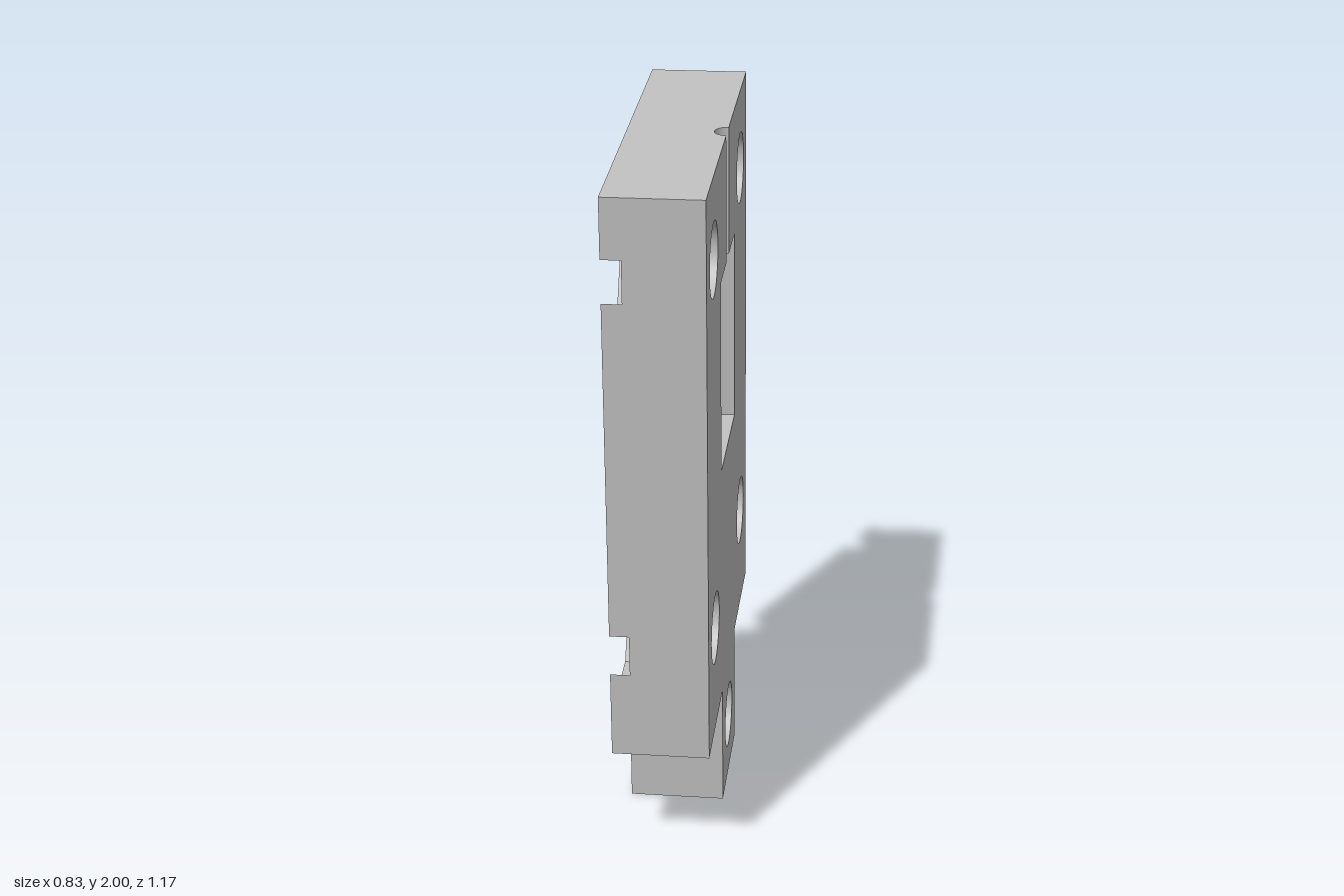
import * as THREE from 'three';

// Plate half width, half height, half thickness, tab half width, tab bottom
const W = 0.5305, H = 0.793, T = 0.132, TAB = 0.174, TAB_Y = -1.154;
const BOLT_X = 0.354, BOLT_Y = [-0.489, 0.572], BOLT_R = 0.1;
const TAB_HOLE_Y = -0.975, TAB_HOLE_R = 0.095;
const HEX_R = 0.21, FLOOR = T - 0.053;
const POCKET_R = 0.184, POCKET_LOW = -0.102, POCKET_TOP = 0.441, GROOVE_R = 0.034;

const steel = new THREE.MeshStandardMaterial({ color: 0xbfbfbf, side: THREE.DoubleSide });
steel.name = 'plain grey';

const V = (x, y) => new THREE.Vector2(x, y);
const mirrored = (half) => [...half, ...half.map((p) => V(-p.x, p.y)).reverse()];

// Nut recess clipped where it breaks out of the plate's edge, right side, bottom to top
function clippedHex(y) {
  const a = HEX_R / 2, b = HEX_R * Math.sqrt(3) / 2;
  const gap = (BOLT_X + HEX_R - W) * Math.sqrt(3);
  return [V(W, y - gap), V(BOLT_X + a, y - b), V(BOLT_X - a, y - b), V(BOLT_X - HEX_R, y),
    V(BOLT_X - a, y + b), V(BOLT_X + a, y + b), V(W, y + gap)];
}

function circleHole(x, y, r) {
  return new THREE.Path().absarc(x, y, r, 0, Math.PI * 2, false);
}

// Flat-shaded walls along an outline, leaving out the top edge
function walls(points, z0, z1) {
  const pos = [];
  points.forEach((a, i) => {
    const b = points[(i + 1) % points.length];
    if (a.y === H && b.y === H) return;
    pos.push(a.x, a.y, z0, b.x, b.y, z0, b.x, b.y, z1, a.x, a.y, z0, b.x, b.y, z1, a.x, a.y, z1);
  });
  const g = new THREE.BufferGeometry();
  g.setAttribute('position', new THREE.Float32BufferAttribute(pos, 3));
  g.computeVertexNormals();
  return g;
}

// Upright half cylinder hollowed into the back face
function trough(r, y0, y1) {
  return new THREE.CylinderGeometry(r, r, y1 - y0, 32, 1, true, -Math.PI / 2, Math.PI)
    .translate(0, (y0 + y1) / 2, -T);
}

function bore(x, y, r, z0, z1) {
  return new THREE.CylinderGeometry(r, r, z1 - z0, 40, 1, true)
    .rotateX(Math.PI / 2).translate(x, y, (z0 + z1) / 2);
}

const flat = (shape) => new THREE.ShapeGeometry(shape, 24);

export function createModel() {
  const model = new THREE.Group();
  model.name = 'mountingPlate';
  const plate = new THREE.Group();
  plate.name = 'tiltedPlate';
  model.add(plate);
  const add = (name, geometry) => {
    const mesh = new THREE.Mesh(geometry, steel);
    mesh.name = name;
    plate.add(mesh);
  };

  // Nut side: outline bitten by the four recesses
  const foot = [V(TAB, TAB_Y), V(TAB, -H), V(W, -H)];
  const nutOutline = mirrored([...foot, ...BOLT_Y.flatMap(clippedHex), V(W, H)]);
  const nutFace = new THREE.Shape(nutOutline);
  nutFace.holes.push(circleHole(0, TAB_HOLE_Y, TAB_HOLE_R));
  add('nutFace', flat(nutFace).translate(0, 0, T));
  add('recessWalls', walls(nutOutline, FLOOR, T));
  add('outerWalls', walls(mirrored([...foot, V(W, H)]), -T, FLOOR));

  // Recess floors and bolt bores
  for (const side of [1, -1]) {
    for (const y of BOLT_Y) {
      let corners = clippedHex(y).map((p) => V(p.x * side, p.y));
      const floor = new THREE.Shape(corners);
      floor.holes.push(circleHole(side * BOLT_X, y, BOLT_R));
      add('recessFloor', flat(floor).translate(0, 0, FLOOR));
      add('boltBore', bore(side * BOLT_X, y, BOLT_R, -T, FLOOR));
    }
  }
  add('tabBore', bore(0, TAB_HOLE_Y, TAB_HOLE_R, -T, T));

  // Pocket side: outline opened by the groove and pocket
  const pocketFace = new THREE.Shape(mirrored([...foot, V(W, H), V(GROOVE_R, H),
    V(GROOVE_R, POCKET_TOP), V(POCKET_R, POCKET_TOP), V(POCKET_R, POCKET_LOW)]));
  pocketFace.holes.push(circleHole(0, TAB_HOLE_Y, TAB_HOLE_R));
  for (const x of [BOLT_X, -BOLT_X]) {
    for (const y of BOLT_Y) pocketFace.holes.push(circleHole(x, y, BOLT_R));
  }
  add('pocketFace', flat(pocketFace).rotateY(Math.PI).translate(0, 0, -T));
  add('pocket', trough(POCKET_R, POCKET_LOW, POCKET_TOP));
  add('groove', trough(GROOVE_R, POCKET_TOP, H));

  // Pocket ends
  const lowEnd = new THREE.Shape().absarc(0, T, POCKET_R, Math.PI, Math.PI * 2, false);
  add('pocketLowEnd', flat(lowEnd).rotateX(-Math.PI / 2).translate(0, POCKET_LOW, 0));
  const topEnd = new THREE.Shape().absarc(0, -T, POCKET_R, 0, Math.PI, false);
  topEnd.lineTo(-GROOVE_R, -T);
  topEnd.absarc(0, -T, GROOVE_R, Math.PI, 0, true);
  add('pocketTopEnd', flat(topEnd).rotateX(Math.PI / 2).translate(0, POCKET_TOP, 0));

  // Top edge with the groove's notch
  const top = new THREE.Shape([V(-W, -T), V(W, -T), V(W, T), V(GROOVE_R, T)]);
  top.absarc(0, T, GROOVE_R, 0, Math.PI, true);
  top.lineTo(-W, T);
  add('topEdge', flat(top).rotateX(-Math.PI / 2).translate(0, H, 0));

  plate.rotation.set(0, -Math.PI / 3, -5 * Math.PI / 180);
  plate.position.y = 1.165;
  return model;
}
